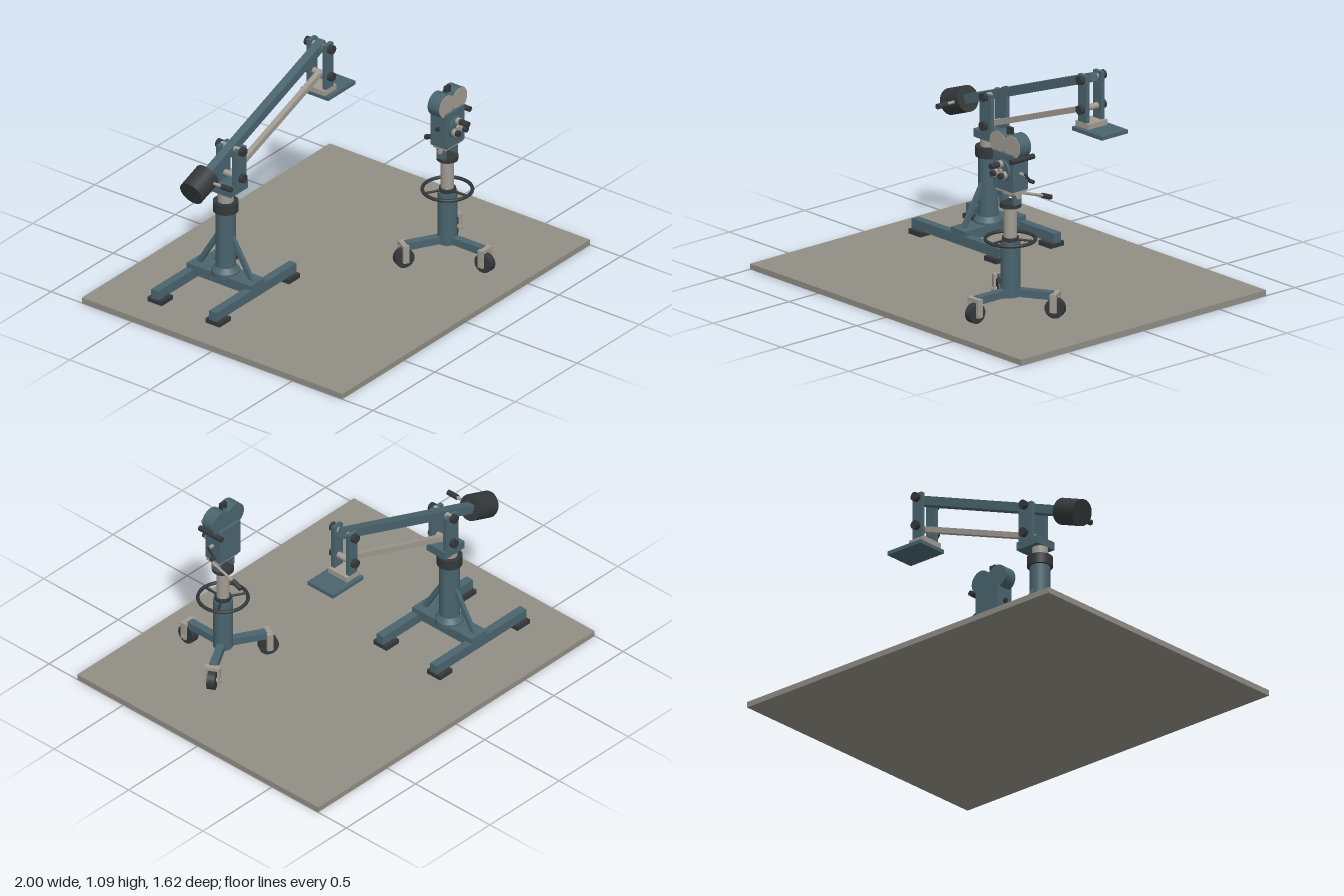
import * as THREE from 'three';

const paint = (name, color) => Object.assign(new THREE.MeshStandardMaterial({ color }), { name });
const V = (x, y, z) => new THREE.Vector3(x, y, z);

export function createModel() {
  const teal = paint('tealPaint', 0x4a646e);
  const dark = paint('blackRubber', 0x34383a);
  const steel = paint('paleSteel', 0xa19b91);
  const ground = paint('floorGrey', 0x918e84);

  const put = (parent, name, geometry, material, x, y, z) => {
    const mesh = new THREE.Mesh(geometry, material);
    mesh.name = name;
    mesh.position.set(x, y, z);
    parent.add(mesh);
    return mesh;
  };
  // box given by its minimum and maximum corners
  const box = (parent, name, mat, x0, x1, y0, y1, z0, z1) =>
    put(parent, name, new THREE.BoxGeometry(x1 - x0, y1 - y0, z1 - z0), mat,
      (x0 + x1) / 2, (y0 + y1) / 2, (z0 + z1) / 2);
  // cylinder from a to b
  const rod = (parent, name, mat, a, b, r0, r1 = r0, sides = 24) => {
    const mid = a.clone().lerp(b, 0.5);
    const mesh = put(parent, name, new THREE.CylinderGeometry(r1, r0, a.distanceTo(b), sides), mat, mid.x, mid.y, mid.z);
    mesh.quaternion.setFromUnitVectors(V(0, 1, 0), b.clone().sub(a).normalize());
    return mesh;
  };
  const post = (parent, name, mat, x, z, y0, y1, r0, r1 = r0) =>
    rod(parent, name, mat, V(x, y0, z), V(x, y1, z), r0, r1, 32);
  // square bar from a to b
  const beam = (parent, name, mat, a, b, w, h) => {
    const mid = a.clone().lerp(b, 0.5);
    const mesh = new THREE.Mesh(new THREE.BoxGeometry(w, h, a.distanceTo(b)), mat);
    mesh.name = name;
    mesh.position.copy(mid);
    mesh.lookAt(b);
    parent.add(mesh);
  };
  const group = (parent, name, x = 0, y = 0, z = 0) => {
    const g = new THREE.Group();
    g.name = name;
    g.position.set(x, y, z);
    if (parent) parent.add(g);
    return g;
  };

  const model = group(null, 'studioCameraRig');
  box(model, 'floor', ground, -1, 1, 0, 0.03, -0.81, 0.81);

  // ---- Crane: base ----
  const crane = group(model, 'crane', 0, 0, -0.308);
  const cx = -0.49;
  for (const s of [-1, 1]) {
    const z = s * 0.18;
    box(crane, 'baseRail', teal, -0.83, -0.18, 0.053, 0.104, z - 0.022, z + 0.022);
    for (const x of [-0.83, -0.27])
      box(crane, 'footPad', dark, x, x + 0.09, 0.03, 0.054, z - 0.044, z + 0.044);
    beam(crane, 'columnBrace', teal, V(cx, 0.115, s * 0.17), V(cx, 0.33, s * 0.04), 0.02, 0.025);
  }
  box(crane, 'crossMember', teal, cx - 0.055, cx + 0.055, 0.078, 0.13, -0.2, 0.2);
  post(crane, 'columnFlange', teal, cx, 0, 0.115, 0.14, 0.072);
  post(crane, 'columnFlangeTaper', teal, cx, 0, 0.14, 0.165, 0.072, 0.051);
  post(crane, 'column', teal, cx, 0, 0.13, 0.48, 0.051);
  post(crane, 'columnCollar', dark, cx, 0, 0.47, 0.523, 0.064);
  post(crane, 'innerColumn', steel, cx, 0, 0.52, 0.58, 0.04);

  // ---- Crane: yoke, arms and head ----
  box(crane, 'yokeBase', teal, -0.53, -0.39, 0.572, 0.614, -0.062, 0.062);
  for (const s of [-1, 1]) {
    const z = s * 0.05;
    box(crane, 'yokePlate', teal, -0.488, -0.402, 0.61, 0.812, z - 0.011, z + 0.011);
    box(crane, 'headPlate', teal, 0.24, 0.3, 0.843, 1.09, z - 0.011, z + 0.011);
  }
  const pivots = [V(-0.445, 0.8, 0), V(0.27, 1.065, 0), V(-0.445, 0.65, 0), V(0.27, 0.912, 0)];
  for (const p of pivots) {
    rod(crane, 'pivotPin', steel, V(p.x, p.y, -0.065), V(p.x, p.y, 0.065), 0.016);
    for (const s of [-1, 1])
      rod(crane, 'pivotCap', dark, V(p.x, p.y, s * 0.061), V(p.x, p.y, s * 0.084), 0.023);
  }
  const along = pivots[1].clone().sub(pivots[0]).normalize();
  const onArm = (t) => pivots[0].clone().addScaledVector(along, t);
  beam(crane, 'upperArm', teal, onArm(-0.3), onArm(0.785), 0.046, 0.045);
  beam(crane, 'lowerArm', steel, pivots[2], pivots[3], 0.028, 0.028);
  rod(crane, 'counterweight', dark, onArm(-0.345), onArm(-0.207), 0.067, 0.067, 32);
  rod(crane, 'weightHandleRod', steel, V(-0.67, 0.717, 0.05), V(-0.67, 0.717, 0.12), 0.008);
  rod(crane, 'weightHandleGrip', dark, V(-0.67, 0.717, 0.115), V(-0.67, 0.717, 0.176), 0.014);
  box(crane, 'platformBlock', steel, 0.225, 0.32, 0.817, 0.845, -0.064, 0.064);
  box(crane, 'platform', teal, 0.225, 0.445, 0.798, 0.818, -0.086, 0.086);

  // ---- Pedestal: three castered legs ----
  const pedestal = group(model, 'pedestal', 0.425, 0, 0.365);
  for (let i = 0; i < 3; i++) {
    const leg = group(pedestal, 'casterLeg');
    leg.rotation.y = i * Math.PI * 2 / 3;
    box(leg, 'legBar', teal, -0.02, 0.02, 0.125, 0.164, 0.02, 0.222);
    box(leg, 'forkBridge', steel, -0.04, 0.04, 0.142, 0.16, 0.217, 0.249);
    for (const s of [-1, 1])
      box(leg, 'forkSide', steel, s * 0.033 - 0.007, s * 0.033 + 0.007, 0.065, 0.15, 0.217, 0.249);
    rod(leg, 'wheel', dark, V(-0.02, 0.081, 0.233), V(0.02, 0.081, 0.233), 0.05, 0.05, 28);
    rod(leg, 'axle', steel, V(-0.044, 0.081, 0.233), V(0.044, 0.081, 0.233), 0.011);
    const spoke = group(pedestal, 'ringSpoke');
    spoke.rotation.y = i * Math.PI * 2 / 3;
    rod(spoke, 'spoke', dark, V(0, 0.416, 0.03), V(0, 0.416, 0.13), 0.006, 0.006, 10);
  }
  post(pedestal, 'pedestalColumn', teal, 0, 0, 0.122, 0.408, 0.049);
  post(pedestal, 'ringHub', dark, 0, 0, 0.406, 0.428, 0.042);
  put(pedestal, 'steeringRing', new THREE.TorusGeometry(0.124, 0.009, 10, 48), dark, 0, 0.416, 0).rotation.x = Math.PI / 2;
  post(pedestal, 'liftColumn', steel, 0, 0, 0.41, 0.588, 0.033);

  // ---- Tilt head and pan handle ----
  post(pedestal, 'headDisc', dark, 0, 0, 0.585, 0.609, 0.054);
  for (const s of [-1, 1])
    box(pedestal, 'tiltCheek', teal, s * 0.047 - 0.009, s * 0.047 + 0.009, 0.605, 0.672, -0.024, 0.024);
  rod(pedestal, 'tiltPin', steel, V(-0.064, 0.65, 0), V(0.064, 0.65, 0), 0.014);
  box(pedestal, 'mountPlate', steel, -0.064, 0.075, 0.666, 0.682, -0.04, 0.04);
  rod(pedestal, 'panHandleRod', steel, V(0.08, 0.672, -0.01), V(0.08, 0.628, -0.145), 0.007, 0.007, 12);
  rod(pedestal, 'panHandleGrip', dark, V(0.08, 0.63, -0.14), V(0.08, 0.608, -0.196), 0.013, 0.013, 16);

  // ---- Film camera ----
  const cam = group(pedestal, 'filmCamera');
  box(cam, 'cameraBody', teal, -0.072, 0.074, 0.681, 0.872, -0.05, 0.05);
  for (const x of [-0.052, 0.052]) {
    rod(cam, 'magazineDrum', teal, V(x, 0.912, -0.036), V(x, 0.912, 0.034), 0.061, 0.061, 36);
    rod(cam, 'magazineCover', steel, V(x, 0.912, 0.033), V(x, 0.912, 0.038), 0.059, 0.059, 36);
  }
  box(cam, 'magazineThroat', teal, -0.05, 0.05, 0.86, 0.935, -0.036, 0.034);
  for (const s of [-1, 1])
    box(cam, 'handlePost', dark, s * 0.014 - 0.004, s * 0.014 + 0.004, 0.93, 0.992, -0.009, 0.009);
  box(cam, 'handleGrip', dark, -0.018, 0.018, 0.984, 0.996, -0.009, 0.009);

  // lens turret
  rod(cam, 'turretDisc', teal, V(0, 0.783, 0.049), V(0, 0.783, 0.062), 0.056, 0.056, 36);
  rod(cam, 'turretHub', steel, V(0, 0.783, 0.06), V(0, 0.783, 0.076), 0.012);
  for (let i = 0; i < 3; i++) {
    const a = Math.PI / 2 + i * Math.PI * 2 / 3;
    const x = 0.034 * Math.cos(a), y = 0.785 + 0.034 * Math.sin(a), end = i ? 0.1 : 0.132;
    rod(cam, 'lensBarrel', steel, V(x, y, 0.06), V(x, y, 0.08), 0.019);
    rod(cam, 'lens', dark, V(x, y, 0.078), V(x, y, end), 0.015);
  }

  // viewfinder, crank and side knob
  rod(cam, 'viewfinder', dark, V(0.087, 0.85, -0.075), V(0.087, 0.85, 0.075), 0.014);
  box(cam, 'viewfinderBracket', teal, 0.07, 0.09, 0.838, 0.862, -0.02, 0.02);
  rod(cam, 'crankShaft', steel, V(0.07, 0.772, 0), V(0.106, 0.772, 0), 0.009);
  beam(cam, 'crankArm', dark, V(0.106, 0.78, 0.003), V(0.106, 0.73, -0.04), 0.008, 0.012);
  rod(cam, 'crankGrip', dark, V(0.1, 0.733, -0.038), V(0.128, 0.733, -0.038), 0.01, 0.01, 16);
  rod(cam, 'sideKnob', dark, V(-0.07, 0.785, 0), V(-0.086, 0.785, 0), 0.012);

  return model;
}
